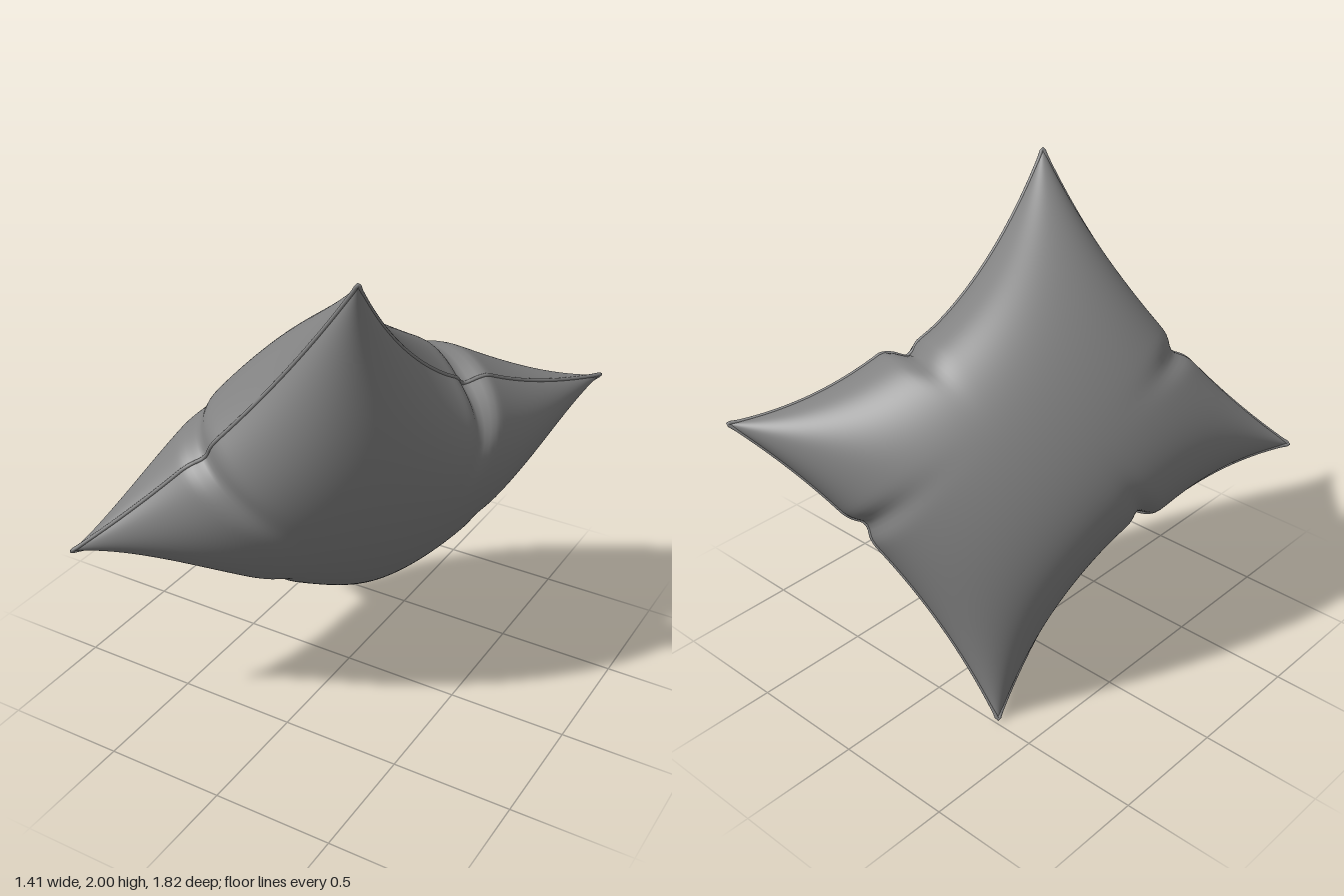
import * as THREE from 'three';

// Cushion frame: U and V are the half diagonals, W is the thickness direction
const CENTRE = new THREE.Vector3(0, 1.002, 0);
const U = new THREE.Vector3(0.32, 0.99, 0.485);
const V = new THREE.Vector3(-0.695, -0.165, 0.905);
const W = new THREE.Vector3().crossVectors(U, V).normalize();
const P = U.clone().sub(V).multiplyScalar(0.5);
const Q = U.clone().add(V).multiplyScalar(0.5);
const HEIGHT = 0.42;

const bell = (t, width) => Math.exp(-((t / width) ** 2));

// How far each seam is drawn inward, with one pinched fold per side
const pullLong = (t) => 0.13 * (1 - t * t) + 0.04 * bell(t + 0.19, 0.06);
function pullShort(t) {
  const step = THREE.MathUtils.smoothstep(t, -0.25, -0.14);
  const deep = 0.31 * (1 - Math.abs(t) ** 1.7);
  const shallow = 0.24 * (1 - Math.abs(t) ** 2.5);
  return THREE.MathUtils.lerp(shallow, deep, step) + 0.04 * bell(t + 0.16, 0.05);
}

// Faint dimple running inward from a fold
const dimple = (along, inward) => bell(along, 0.07) * bell(inward, 0.25);

// Point of the cushion for p, q in -1..1; side is +1, -1, or 0 for the seam plane
function cushionPoint(p, q, side) {
  const sp = Math.sign(p) || 1;
  const sq = Math.sign(q) || 1;
  const x = p * (1 - pullShort(q * sp) * p * p);
  const y = q * (1 - pullLong(p * sq) * q * q);
  let h = HEIGHT * Math.max(0, 1 - p * p) ** 0.6 * Math.max(0, 1 - q * q) ** 0.53;
  h *= 1 - 0.13 * dimple(q * sp + 0.17, 1 - Math.abs(p)) - 0.1 * dimple(p * sq + 0.19, 1 - Math.abs(q));
  return CENTRE.clone().addScaledVector(P, x).addScaledVector(Q, y).addScaledVector(W, h * side);
}

// One puffed cloth panel; rows crowd towards the seams
function panel(side) {
  const geo = new THREE.PlaneGeometry(2, 2, 120, 120);
  const pos = geo.attributes.position;
  for (let i = 0; i < pos.count; i++) {
    const p = Math.sin(pos.getX(i) * Math.PI / 2) * side;
    const q = Math.sin(pos.getY(i) * Math.PI / 2);
    const v = cushionPoint(p, q, side);
    pos.setXYZ(i, v.x, v.y, v.z);
  }
  geo.computeVertexNormals();
  return geo;
}

// Thin piping that follows the four sides
function piping() {
  const points = [];
  const steps = 48;
  const corners = [[1, 1], [-1, 1], [-1, -1], [1, -1]];
  corners.forEach(([p0, q0], k) => {
    const [p1, q1] = corners[(k + 1) % 4];
    for (let i = 0; i < steps; i++) {
      const t = i / steps;
      points.push(cushionPoint(p0 + (p1 - p0) * t, q0 + (q1 - q0) * t, 0));
    }
  });
  return new THREE.TubeGeometry(new THREE.CatmullRomCurve3(points, true), 480, 0.008, 8, true);
}

export function createModel() {
  const group = new THREE.Group();
  group.name = 'cushion';
  const cloth = new THREE.MeshStandardMaterial({ color: 0x828282 });
  const add = (geo, name) => {
    const mesh = new THREE.Mesh(geo, cloth);
    mesh.name = name;
    group.add(mesh);
  };
  add(panel(1), 'frontPanel');
  add(panel(-1), 'backPanel');
  add(piping(), 'seamPiping');
  return group;
}
